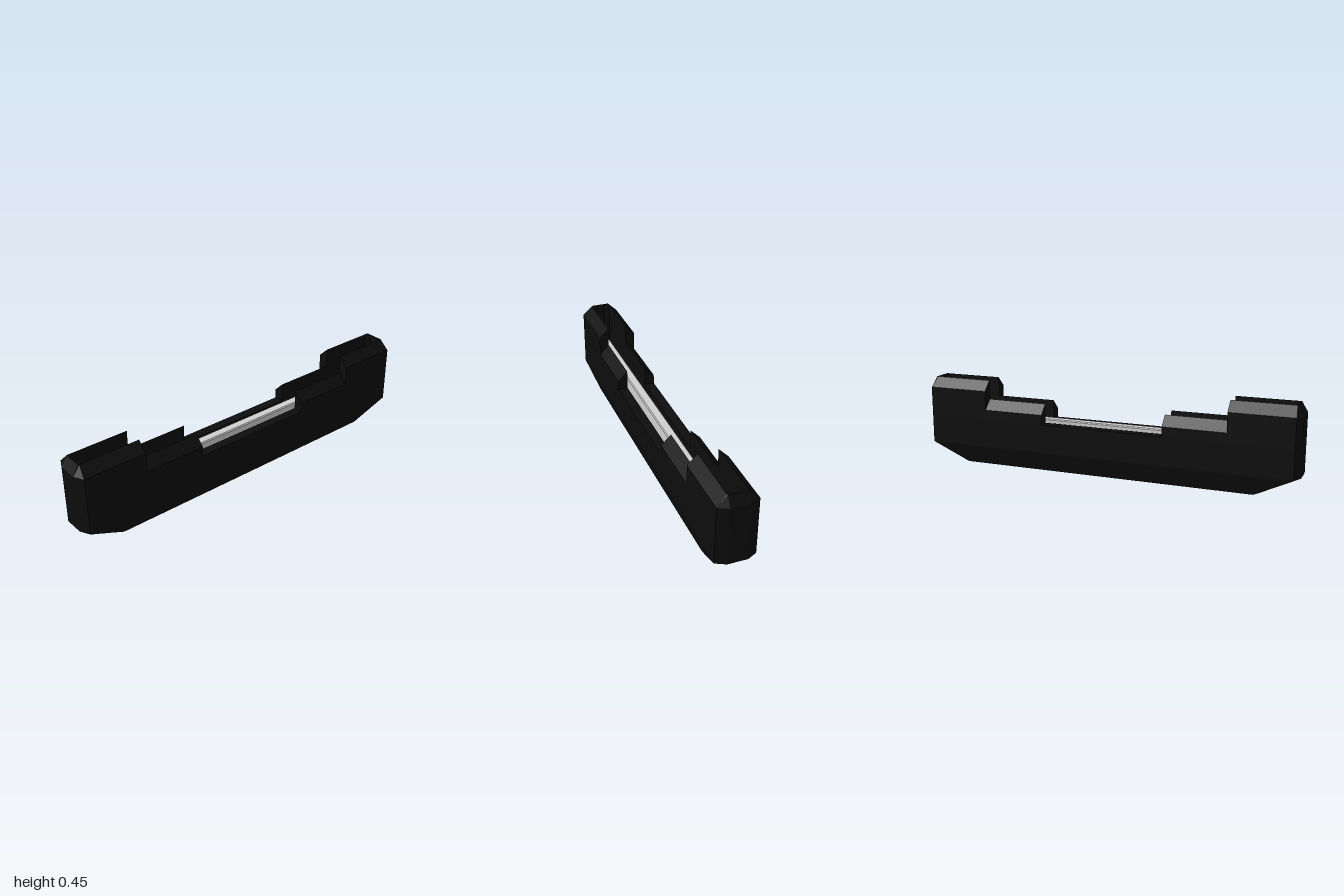
import * as THREE from 'three';

// Joins a row of cross-sections (each a list of [x, y, z]) into a faceted surface
function sweep(sections, closed) {
  const out = [];
  const tri = (a, b, c) => out.push(...a, ...b, ...c);
  const n = sections.length, m = sections[0].length;
  for (let i = 0; i < (closed ? n : n - 1); i++) {
    const A = sections[i], B = sections[(i + 1) % n];
    for (let j = 0; j < (closed ? m - 1 : m); j++) {
      const k = (j + 1) % m;
      tri(A[j], B[j], B[k]);
      tri(A[j], B[k], A[k]);
    }
  }
  if (!closed) {
    const S = sections[0], E = sections[n - 1];
    for (let j = 1; j < m - 1; j++) {
      tri(S[0], S[j], S[j + 1]);
      tri(E[0], E[j + 1], E[j]);
    }
  }
  const g = new THREE.BufferGeometry();
  g.setAttribute('position', new THREE.Float32BufferAttribute(out, 3));
  g.computeVertexNormals();
  return g;
}

// Eight plan points of a rectangle with cut corners, counter-clockwise from above
function plan(hx, hz, cx, cz) {
  const q = [[hx - cx, hz], [hx, hz - cz], [hx, cz - hz], [hx - cx, -hz]];
  return [...q, ...q.map(([x, z]) => [-x, -z])];
}

export function createModel() {
  const black = new THREE.MeshStandardMaterial({ color: 0x0d0d0d });
  black.name = 'black casing';
  const silver = new THREE.MeshStandardMaterial({ color: 0xd0d0d0 });
  silver.name = 'silver strip';

  const model = new THREE.Group();
  const add = (name, geometry, material) => {
    const mesh = new THREE.Mesh(geometry, material);
    mesh.name = name;
    model.add(mesh);
    return mesh;
  };

  const wallY = 0.25, floorY = 0.12;
  const foot = plan(0.8, 0.07, 0.02, 0.035);
  const outer = plan(1, 0.1, 0.025, 0.05);
  const slot = plan(0.968, 0.05, 0.018, 0.025);
  const at = ([x, z], y) => [x, y, z];

  // Lower casing with tapered underside and a long open slot
  add('casing', sweep(outer.map((p, i) => [
    [0, 0, 0], at(foot[i], 0), at(p, 0.1), at(p, wallY),
    at(slot[i], wallY), at(slot[i], floorY), [0, floorY, 0],
  ]), true), black);

  // Tall end guards: U-shaped walls around the slot with a sloped rim
  const startX = 0.65;
  const outerU = [[startX, 0.1], ...outer.slice(0, 4), [startX, -0.1]];
  const slotU = [[startX, 0.05], ...slot.slice(0, 4), [startX, -0.05]];
  const rimU = [[startX, 0.05], [0.965, 0.05], [0.97, 0.048],
    [0.97, -0.048], [0.965, -0.05], [startX, -0.05]];
  const guard = sweep(outerU.map((p, i) => [
    at(slotU[i], wallY), at(p, wallY), at(p, 0.4), at(rimU[i], 0.45), at(slotU[i], 0.45),
  ]), false);

  // Lower stepped rails between the guards and the open middle
  const rail = (x0, x1) => sweep([x0, x1].map((x) => [
    [x, wallY, 0.05], [x, wallY, 0.1], [x, 0.3, 0.1], [x, 0.35, 0.05],
  ]), false);
  const railA = rail(0.325, 0.65), railB = rail(-0.65, -0.325);

  // Half-turn copies make the other end and the back
  for (const [side, turn] of [['left', 0], ['right', Math.PI]]) {
    add(side + 'EndGuard', guard, black).rotation.y = turn;
    add(side + 'StepRailA', railA, black).rotation.y = turn;
    add(side + 'StepRailB', railB, black).rotation.y = turn;
  }

  // Pointed strip standing in the slot
  const bevel = 0.005;
  const shape = new THREE.Shape([
    [0.94, -0.02], [0.96, 0], [0.94, 0.02], [-0.94, 0.02], [-0.96, 0], [-0.94, -0.02],
  ].map(([x, y]) => new THREE.Vector2(x, y)));
  const strip = new THREE.ExtrudeGeometry(shape, {
    depth: 0.26 - floorY, bevelEnabled: true, bevelSegments: 1, bevelSize: bevel, bevelThickness: bevel,
  });
  strip.rotateX(-Math.PI / 2);
  add('innerStrip', strip, silver).position.y = floorY;

  return model;
}
